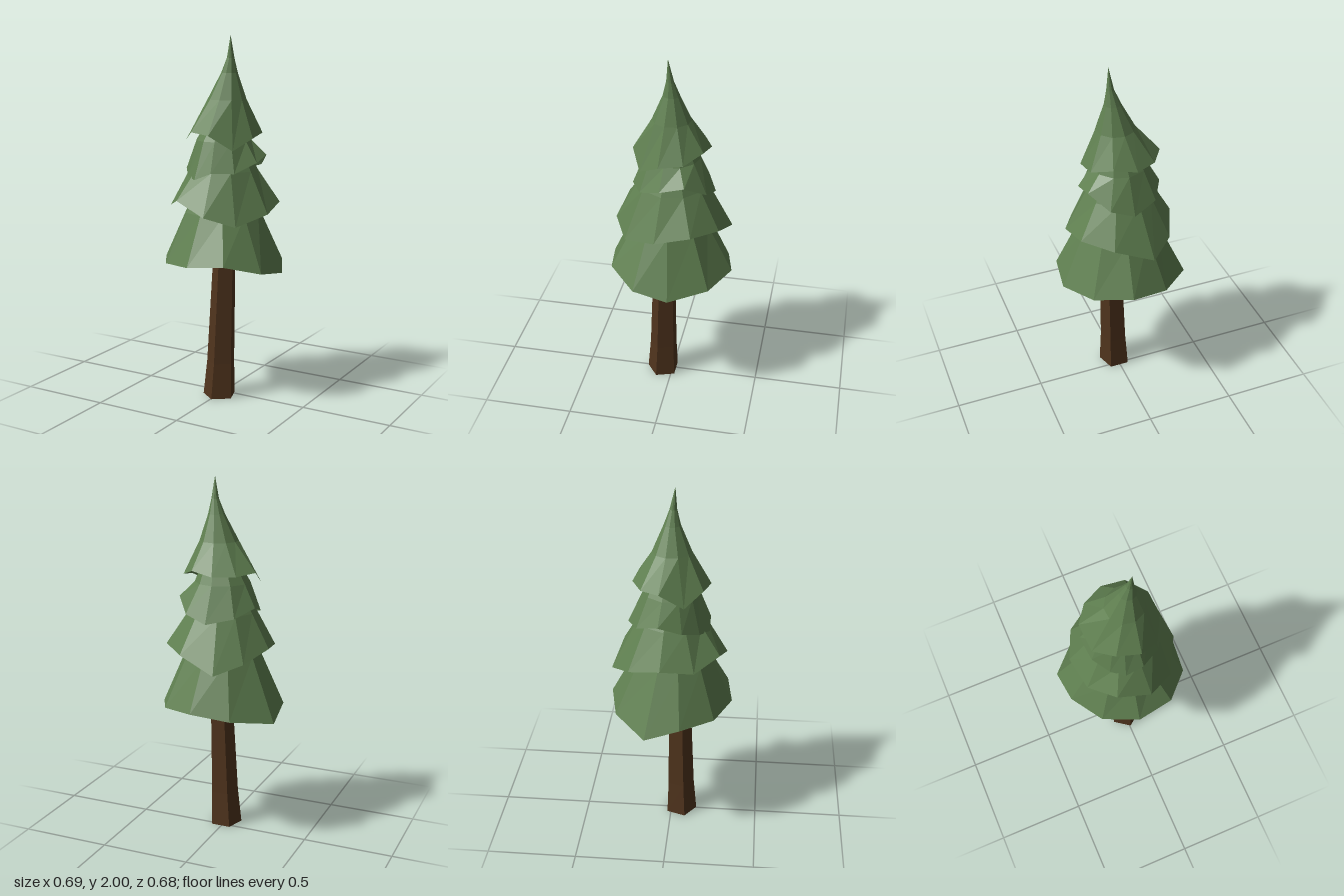
import * as THREE from 'three';

const green = new THREE.MeshStandardMaterial({ color: 0x5f7f50, flatShading: true, side: THREE.DoubleSide });
const brown = new THREE.MeshStandardMaterial({ color: 0x50341d, flatShading: true });

// Joins rings of [x, y, z] points (running -x, +z, +x, -z), listed from the bottom up.
function loft(name, rings, material, capped) {
  const out = [];
  const n = rings[0].length;
  for (let k = 0; k < rings.length - 1; k++) {
    for (let i = 0; i < n; i++) {
      const j = (i + 1) % n;
      const [a, b, c, d] = [rings[k][i], rings[k][j], rings[k + 1][j], rings[k + 1][i]];
      out.push(...a, ...b, ...c, ...a, ...c, ...d);
    }
  }
  if (capped) {
    const base = rings[0], top = rings[rings.length - 1];
    for (let i = 1; i < n - 1; i++) {
      out.push(...base[0], ...base[i + 1], ...base[i]);
      out.push(...top[0], ...top[i], ...top[i + 1]);
    }
  }
  const geometry = new THREE.BufferGeometry();
  geometry.setAttribute('position', new THREE.Float32BufferAttribute(out, 3));
  geometry.computeVertexNormals();
  const mesh = new THREE.Mesh(geometry, material);
  mesh.name = name;
  return mesh;
}

// A skirt of foliage: an uneven rim, then rounder rings [x, y, z, radius] above it.
function tier(name, rim, levels) {
  const rings = levels.map(([cx, y, cz, r]) => rim.map(([x, , z]) => {
    const d = Math.hypot(x, z);
    return [cx + (x / d) * r, y, cz + (z / d) * r];
  }));
  return loft(name, [rim, ...rings], green, false);
}

export function createModel() {
  const tree = new THREE.Group();
  tree.name = 'pineTree';

  // Five-sided trunk, flared at the foot and leaning slightly
  const trunkRings = [
    [0.005, 0, 0.055, 0.093], [0.012, 0.2, 0.05, 0.08],
    [0.027, 0.75, 0.04, 0.066], [0.03, 1.15, 0.03, 0.05],
  ].map(([cx, y, cz, r]) => Array.from({ length: 5 }, (_, i) => {
    const a = (i / 5) * Math.PI * 2;
    return [cx + Math.sin(a) * r, y, cz + Math.cos(a) * r];
  }));
  tree.add(loft('trunk', trunkRings, brown, true));

  // Foliage, lowest skirt first
  tree.add(tier('bottomFoliage', [
    [-0.35, 0.71, -0.12], [-0.335, 0.77, 0.07], [-0.22, 0.775, 0.25], [-0.03, 0.79, 0.34],
    [0.175, 0.81, 0.31], [0.32, 0.76, 0.16], [0.345, 0.73, -0.035], [0.24, 0.76, -0.24],
    [0.045, 0.78, -0.34], [-0.165, 0.75, -0.295],
  ], [[0, 1.05, 0.01, 0.21], [0.015, 1.28, 0, 0.1], [0.02, 1.36, 0, 0]]));

  tree.add(tier('lowerMiddleFoliage', [
    [-0.285, 1.1, -0.04], [-0.255, 1.08, 0.14], [-0.135, 1.13, 0.27], [0.05, 1.06, 0.305],
    [0.2, 1.01, 0.225], [0.295, 1.06, 0.045], [0.27, 1.1, -0.145], [0.13, 1.08, -0.275],
    [-0.08, 1.0, -0.32], [-0.21, 1.05, -0.215],
  ], [[0, 1.28, 0, 0.185], [0.01, 1.45, 0, 0.09], [0.02, 1.52, 0, 0]]));

  tree.add(tier('upperMiddleFoliage', [
    [-0.21, 1.32, -0.055], [-0.195, 1.28, 0.07], [-0.13, 1.25, 0.16], [-0.06, 1.24, 0.21],
    [0.04, 1.28, 0.21], [0.15, 1.28, 0.15], [0.22, 1.33, 0.03], [0.21, 1.36, -0.1],
    [0.125, 1.29, -0.205], [0, 1.25, -0.235], [-0.14, 1.28, -0.175],
  ], [[0, 1.44, 0, 0.15], [0.015, 1.58, 0, 0.08], [0.02, 1.65, 0, 0]]));

  // Pointed crown with a bent tip
  tree.add(tier('topFoliage', [
    [-0.21, 1.51, -0.05], [-0.195, 1.43, 0.08], [-0.1, 1.49, 0.175], [0.025, 1.48, 0.21],
    [0.14, 1.4, 0.15], [0.2, 1.46, 0.04], [0.19, 1.48, -0.09], [0.1, 1.52, -0.18],
    [-0.025, 1.5, -0.205], [-0.14, 1.5, -0.15],
  ], [[0.02, 1.66, 0, 0.105], [0.035, 1.8, 0, 0.045], [0.045, 1.88, 0.005, 0.02], [0.05, 2, 0.015, 0]]));

  return tree;
}
